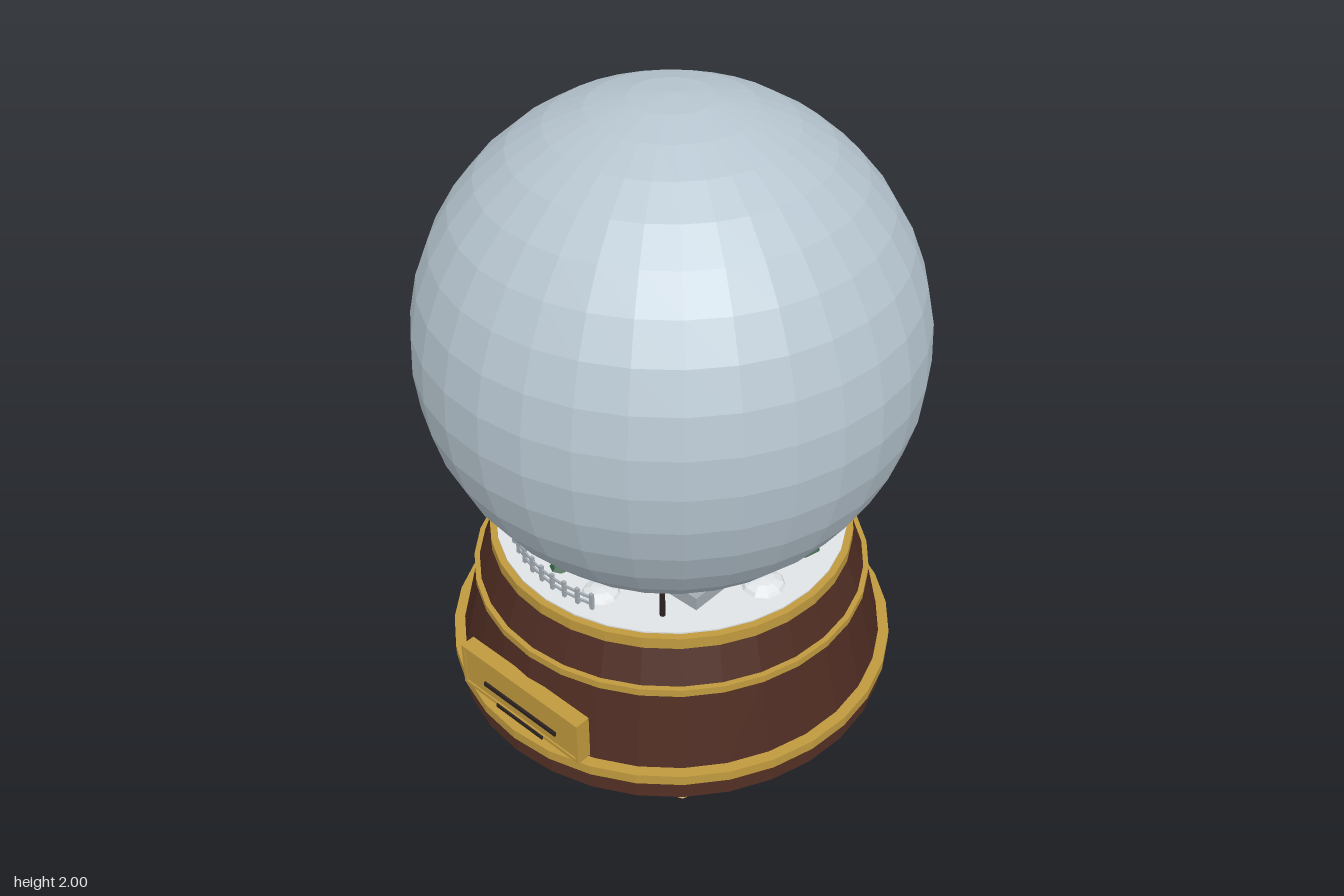
import * as THREE from 'three';

const mat = (name, color, extra = {}) =>
  Object.assign(new THREE.MeshStandardMaterial({ color, flatShading: true, ...extra }), { name });

export function createModel() {
  const glass = mat('glass', 0xb6c5cf, { side: THREE.DoubleSide });
  const wood = mat('wood', 0x4e2c22);
  const brass = mat('brass', 0xc09a3e);
  const dark = mat('dark metal', 0x2c2220);
  const snow = mat('snow', 0xeef2f5);
  const green = mat('pine green', 0x2a5a3c);
  const bark = mat('bark', 0x5a3522);
  const stone = mat('stone', 0xa4adb4);

  const model = new THREE.Group();
  model.name = 'snowGlobe';

  const add = (name, geometry, material, x = 0, y = 0, z = 0, parent = model) => {
    const mesh = new THREE.Mesh(geometry, material);
    mesh.name = name;
    mesh.position.set(x, y, z);
    parent.add(mesh);
    return mesh;
  };
  const group = (name, x = 0, y = 0, z = 0) => {
    const g = new THREE.Group();
    g.name = name;
    g.position.set(x, y, z);
    model.add(g);
    return g;
  };
  // Drum between two heights
  const drum = (name, material, y0, y1, r0, r1 = r0) =>
    add(name, new THREE.CylinderGeometry(r1, r0, y1 - y0, 32), material, 0, (y0 + y1) / 2, 0);
  const box = (w, h, d) => new THREE.BoxGeometry(w, h, d);

  // Glass ball, open at the neck
  add('glassBall', new THREE.SphereGeometry(0.75, 32, 16, 0, Math.PI * 2, 0, Math.PI * 13 / 16), glass, 0, 1.25, 0);

  // Wooden base with brass bands
  drum('baseBottom', wood, 0.065, 0.135, 0.705, 0.695);
  drum('lowerBand', brass, 0.13, 0.165, 0.715);
  drum('baseBody', wood, 0.16, 0.415, 0.682, 0.622);
  drum('middleBand', brass, 0.41, 0.435, 0.63);
  drum('baseNeck', wood, 0.43, 0.545, 0.615, 0.572);
  drum('topRim', brass, 0.54, 0.583, 0.572);
  drum('snowGround', snow, 0.56, 0.588, 0.55);

  // Feet at the four corners
  const footProfile = [[0, 0], [0.075, 0], [0.088, 0.014], [0.05, 0.05], [0.04, 0.07], [0, 0.07]]
    .map(p => new THREE.Vector2(...p));
  for (const x of [-0.41, 0.41]) for (const z of [-0.41, 0.41]) {
    add('foot', new THREE.LatheGeometry(footProfile, 8), brass, x, 0, z);
  }

  // Front plate with raised border and dark slots
  const plate = group('frontPlate', 0, 0.255, 0.66);
  add('plateBody', box(0.48, 0.14, 0.04), brass, 0, 0, 0, plate);
  for (const s of [-1, 1]) {
    add('plateBorder', box(0.5, 0.012, 0.05), brass, 0, s * 0.072, 0, plate);
    add('plateBorder', box(0.012, 0.156, 0.05), brass, s * 0.244, 0, 0, plate);
  }
  add('slot', box(0.31, 0.014, 0.008), dark, 0, -0.023, 0.023, plate);
  add('lowerSlot', box(0.2, 0.012, 0.008), dark, 0, -0.075, 0.026, plate);

  // Pine trees: x, z, size
  const trees = [[-0.42, 0.22, 1], [-0.41, -0.13, 1], [0.42, -0.12, 1.15],
    [0.3, -0.32, 1.1], [0.12, -0.45, 1], [-0.06, 0.43, 0.6]];
  for (const [x, z, size] of trees) {
    const tree = group('pineTree', x, 0.585, z);
    tree.scale.setScalar(size);
    add('trunk', new THREE.CylinderGeometry(0.012, 0.014, 0.04, 6), bark, 0, 0.02, 0, tree);
    [[0.055, 0.045], [0.042, 0.067], [0.028, 0.088]].forEach(([r, y]) =>
      add('branches', new THREE.ConeGeometry(r, 0.042, 7), green, 0, y, 0, tree));
  }

  // Picket fence curving along the front edge
  const fence = group('fence');
  const fencePoint = i => {
    const a = -0.72 + i * 0.098;
    return new THREE.Vector3(Math.sin(a) * 0.505, 0, Math.cos(a) * 0.505);
  };
  for (let i = 0; i < 11; i++) {
    const p = fencePoint(i);
    add('picket', box(0.012, 0.06, 0.01), stone, p.x, 0.615, p.z, fence);
    if (i === 10) continue;
    const q = fencePoint(i + 1);
    for (const y of [0.606, 0.63]) {
      const rail = add('rail', box(p.distanceTo(q), 0.007, 0.006), stone, (p.x + q.x) / 2, y, (p.z + q.z) / 2, fence);
      rail.rotation.y = Math.atan2(p.z - q.z, q.x - p.x);
    }
  }

  // Lamp post
  add('lampPost', new THREE.CylinderGeometry(0.007, 0.009, 0.18, 6), dark, 0.3, 0.675, 0.37);

  // Stone blocks
  add('stoneBlock', box(0.17, 0.045, 0.18), stone, 0.275, 0.61, 0.2);
  add('stoneBlock', box(0.16, 0.055, 0.18), stone, -0.19, 0.612, -0.32);

  // Cottage under the ball
  const cottage = group('cottage', 0.02, 0.585, 0.02);
  add('walls', box(0.3, 0.2, 0.24), bark, 0, 0.1, 0, cottage);
  const roof = add('roof', new THREE.ConeGeometry(0.26, 0.16, 4), snow, 0, 0.28, 0, cottage);
  roof.rotation.y = Math.PI / 4;

  // Snow mounds: x, z, radius
  const mounds = [[0.43, 0.07, 0.07], [0.1, 0.42, 0.06], [-0.3, -0.34, 0.07], [0.4, -0.25, 0.06],
    [-0.44, 0.05, 0.06], [0.2, -0.42, 0.06], [0, -0.46, 0.06], [-0.25, 0.36, 0.06]];
  for (const [x, z, r] of mounds) {
    const mound = add('snowMound', new THREE.SphereGeometry(r, 10, 6), snow, x, 0.585, z);
    mound.scale.y = 0.4;
  }
  return model;
}
